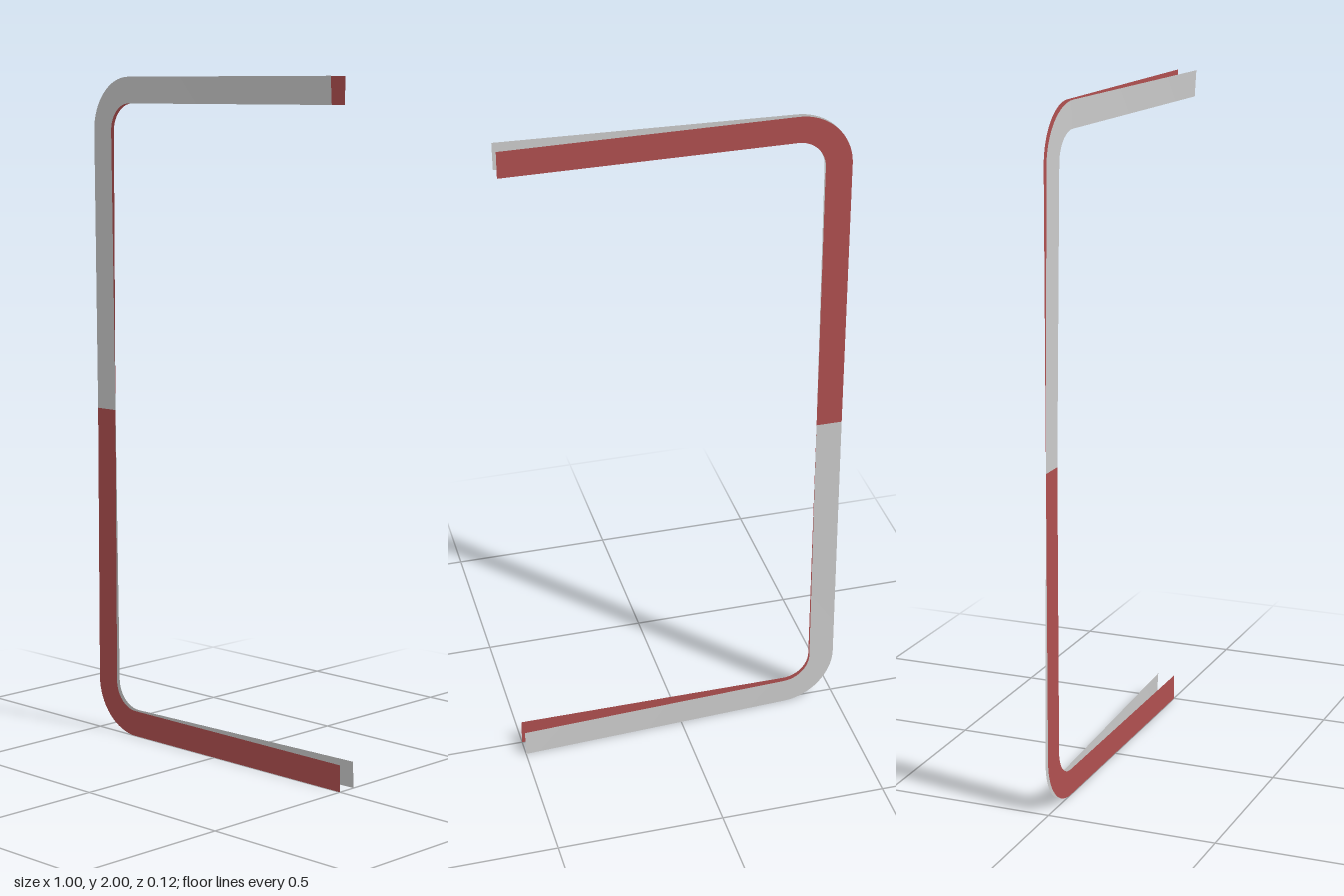
import * as THREE from 'three';

const LEFT = -0.5, RIGHT = 0.5, HEIGHT = 2;
const WIDTH = 0.078, RADIUS = 0.16; // band width and outer corner radius

// Stations along the outer edge of the bracket: point plus inward direction
function bandStations() {
  const stations = [];
  const add = (x, y, nx, ny) => stations.push({ x, y, nx, ny });
  const corner = (cx, cy, start) => {
    for (let i = 0; i <= 16; i++) {
      const a = start + (i / 16) * Math.PI / 2;
      const c = Math.cos(a), s = Math.sin(a);
      add(cx + RADIUS * c, cy + RADIUS * s, -c, -s);
    }
  };
  const armStart = LEFT + RADIUS;
  for (let i = 0; i < 8; i++) add(RIGHT + (armStart - RIGHT) * i / 8, HEIGHT, 0, -1);
  corner(armStart, HEIGHT - RADIUS, Math.PI / 2);
  for (let i = 1; i < 20; i++) add(LEFT, HEIGHT - RADIUS - (HEIGHT - 2 * RADIUS) * i / 20, 1, 0);
  corner(armStart, RADIUS, Math.PI);
  for (let i = 1; i <= 8; i++) add(armStart + (RIGHT - armStart) * i / 8, 0, 0, 1);
  return stations;
}

// Thin flat band following the stations, with its depth given by a rule
function bandMesh(name, color, depth) {
  const positions = [], indices = [];
  bandStations().forEach(({ x, y, nx, ny }, i) => {
    for (const d of [0, WIDTH]) {
      const px = x + nx * d, py = y + ny * d;
      positions.push(px, py, depth(px, py));
    }
    if (i > 0) {
      const a = 2 * (i - 1);
      indices.push(a, a + 2, a + 1, a + 1, a + 2, a + 3);
    }
  });
  const geometry = new THREE.BufferGeometry();
  geometry.setAttribute('position', new THREE.Float32BufferAttribute(positions, 3));
  geometry.setIndex(indices);
  geometry.computeVertexNormals();
  const material = new THREE.MeshStandardMaterial({ color, side: THREE.DoubleSide });
  const mesh = new THREE.Mesh(geometry, material);
  mesh.name = name;
  return mesh;
}

export function createModel() {
  const group = new THREE.Group();
  group.name = 'bracketPair';
  // Flat band in the middle plane
  group.add(bandMesh('flatBand', 0xb05050, () => 0));
  // Twisted band: top arm swings forward, bottom arm swings back
  group.add(bandMesh('twistedBand', 0xcccccc, (x, y) => (y - 1) * (0.034 + 0.049 * x)));
  return group;
}
